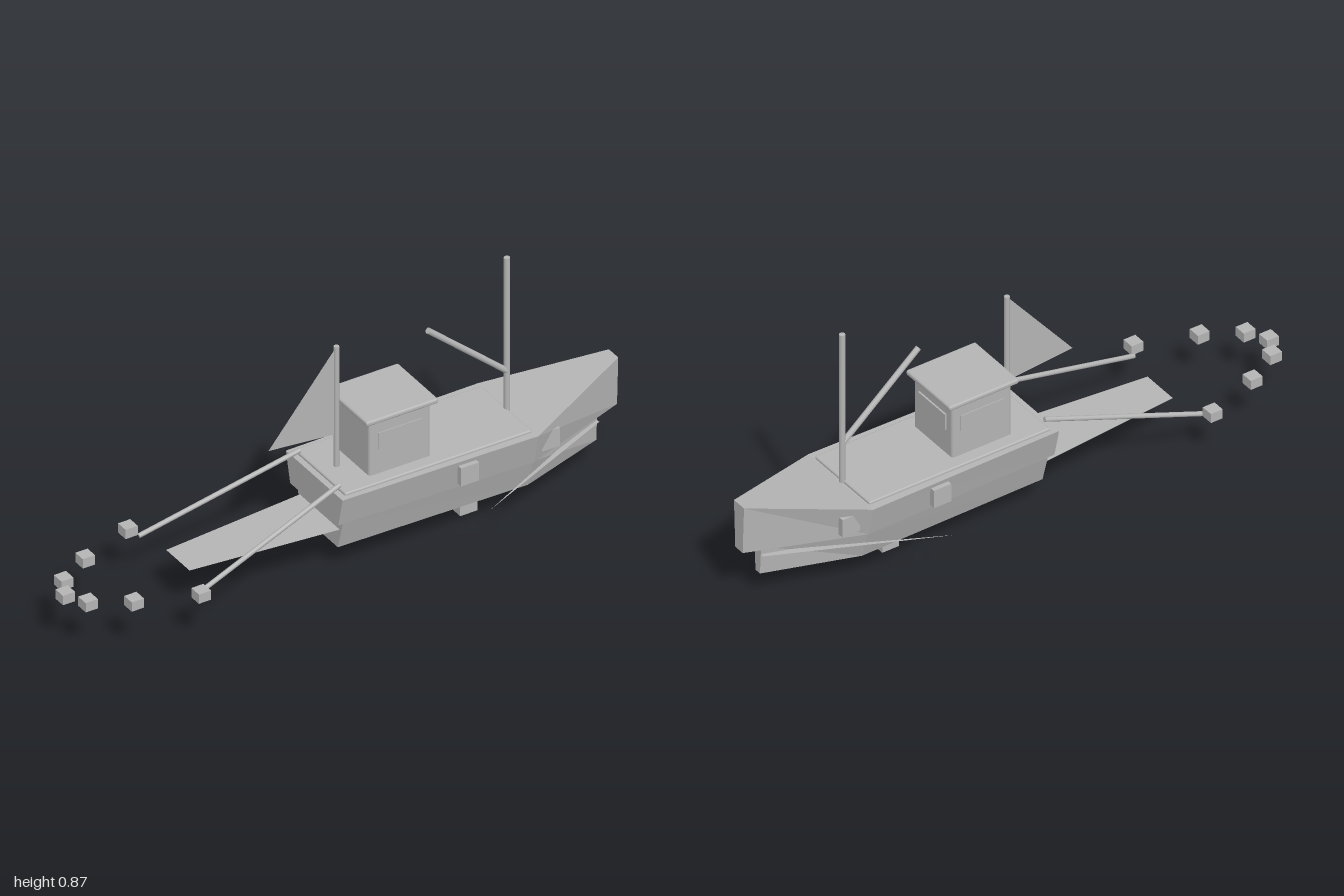
import * as THREE from 'three';
import { RoundedBoxGeometry } from 'three/addons/geometries/RoundedBoxGeometry.js';

const grey = new THREE.MeshStandardMaterial({ color: 0xb4b4b4 });
grey.name = 'plain grey';
const greySheet = grey.clone();
greySheet.side = THREE.DoubleSide;

export function createModel() {
  const model = new THREE.Group();
  model.name = 'fishingBoat';

  const add = (name, geometry, material = grey) => {
    const mesh = new THREE.Mesh(geometry, material);
    mesh.name = name;
    model.add(mesh);
    return mesh;
  };
  const box = (name, sx, sy, sz, x, y, z) =>
    add(name, new THREE.BoxGeometry(sx, sy, sz)).position.set(x, y, z);
  const rounded = (name, sx, sy, sz, x, y, z, r) =>
    add(name, new RoundedBoxGeometry(sx, sy, sz, 2, r)).position.set(x, y, z);

  // Round bar between two points
  const bar = (name, from, to, radius) => {
    const a = new THREE.Vector3(...from), b = new THREE.Vector3(...to);
    const dir = b.clone().sub(a);
    const mesh = add(name, new THREE.CylinderGeometry(radius, radius, dir.length(), 12));
    mesh.position.copy(a).add(b).multiplyScalar(0.5);
    mesh.quaternion.setFromUnitVectors(new THREE.Vector3(0, 1, 0), dir.normalize());
  };

  // Flat-sided solid through cross-sections [x, yBottom, yTop, halfBottom, halfTop]
  const loft = (name, stations) => {
    const rings = stations.map(([x, yb, yt, wb, wt]) =>
      [[x, yb, wb], [x, yb, -wb], [x, yt, -wt], [x, yt, wt]]);
    const pos = [];
    const quad = (a, b, c, d) => pos.push(...a, ...b, ...c, ...a, ...c, ...d);
    for (let i = 0; i < rings.length - 1; i++) {
      const r = rings[i], s = rings[i + 1];
      for (let k = 0; k < 4; k++) {
        const n = (k + 1) % 4;
        quad(r[k], r[n], s[n], s[k]);
      }
    }
    const first = rings[0], last = rings[rings.length - 1];
    quad(first[3], first[2], first[1], first[0]);
    quad(...last);
    const g = new THREE.BufferGeometry();
    g.setAttribute('position', new THREE.Float32BufferAttribute(pos, 3));
    g.computeVertexNormals();
    add(name, g);
  };

  // Thin open sheet from a convex outline
  const sheet = (name, points) => {
    const g = new THREE.BufferGeometry();
    g.setAttribute('position', new THREE.Float32BufferAttribute(points.flat(), 3));
    const index = [];
    for (let i = 1; i < points.length - 1; i++) index.push(0, i, i + 1);
    g.setIndex(index);
    g.computeVertexNormals();
    add(name, g, greySheet);
  };

  // Hull, keel block and deck
  loft('upperHull', [
    [-0.08, 0.2, 0.305, 0.14, 0.165],
    [0.62, 0.197, 0.305, 0.15, 0.175],
    [1.0, 0.206, 0.38, 0.02, 0.027],
  ]);
  loft('lowerHull', [
    [-0.06, 0.094, 0.2, 0.105, 0.135],
    [0.62, 0.094, 0.198, 0.115, 0.146],
    [0.93, 0.094, 0.2, 0.012, 0.018],
  ]);
  rounded('deck', 0.675, 0.02, 0.295, 0.278, 0.304, 0, 0.006);
  box('keelBlock', 0.062, 0.045, 0.066, 0.457, 0.0225, 0);

  // Wheelhouse with roof and windows
  rounded('cabin', 0.222, 0.21, 0.208, 0.165, 0.408, 0, 0.01);
  rounded('cabinRoof', 0.26, 0.018, 0.238, 0.166, 0.515, 0, 0.007);
  box('frontWindow', 0.009, 0.058, 0.145, 0.2775, 0.434, 0);

  // Masts, derrick and sail
  bar('frontMast', [0.615, 0.3, 0], [0.615, 0.865, 0], 0.01);
  bar('sternMast', [0, 0.3, 0], [0, 0.752, 0], 0.009);
  bar('derrick', [0.615, 0.45, 0], [0.33, 0.695, 0], 0.01);
  sheet('sail', [[0, 0.75, 0], [-0.245, 0.452, 0], [0, 0.43, 0]]);

  // Paired fittings on both sides
  for (const s of [1, -1]) {
    box('sideWindow', 0.16, 0.058, 0.008, 0.165, 0.434, s * 0.103);
    box('middleFender', 0.065, 0.066, 0.02, 0.368, 0.257, s * 0.174);
    box('bowFender', 0.065, 0.066, 0.022, 0.683, 0.255, s * 0.136);
    bar('netBoom', [-0.06, 0.328, s * 0.115], [-0.6, 0.163, s * 0.182], 0.008);
    sheet('bowWave', [[0.93, 0.17, 0], [0.93, 0.17, s * 0.03], [0.385, 0.17, s * 0.273]]);
  }

  // Wake behind the stern
  sheet('wake', [
    [-0.05, 0.165, 0.117], [-0.05, 0.165, -0.117],
    [-0.572, 0.165, -0.068], [-0.572, 0.165, 0.068],
  ]);

  // Arc of net floats
  for (const [x, z] of [[-0.62, 0.213], [-0.818, 0.142], [-0.94, 0.071]])
    for (const s of [1, -1]) box('netFloat', 0.044, 0.034, 0.044, x, 0.177, s * z);
  box('netFloat', 0.044, 0.034, 0.044, -0.978, 0.177, 0);

  return model;
}
